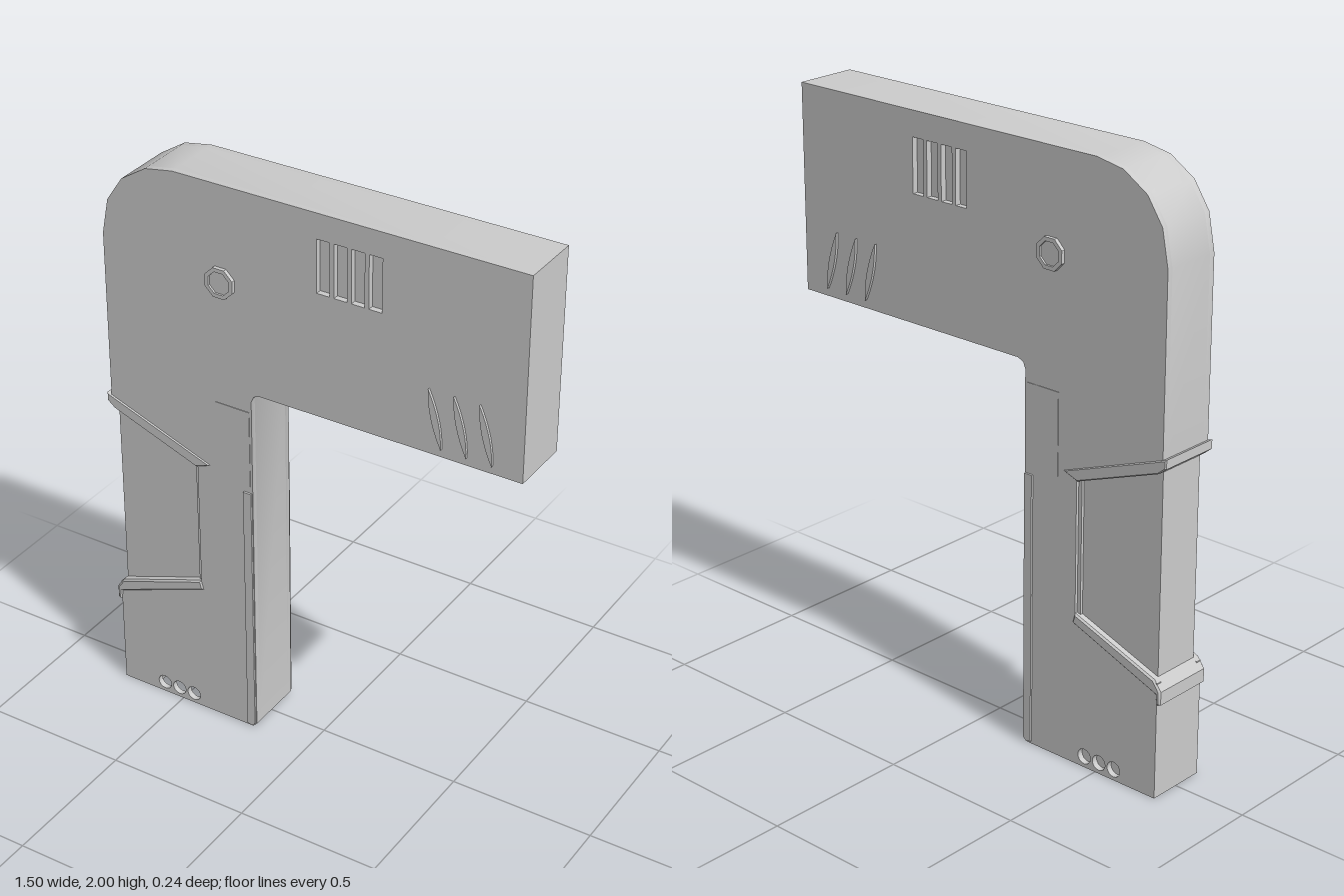
import * as THREE from 'three';
import { toCreasedNormals } from 'three/addons/utils/BufferGeometryUtils.js';

const HALF = 0.106;   // half thickness of the body
const SKIN = 0.02;    // depth of the engraved side layers
const material = new THREE.MeshStandardMaterial({ color: 0xcccccc });

const poly = (pts) => new THREE.Shape(pts.map(([x, y]) => new THREE.Vector2(x, y)));
const rect = (x0, y0, x1, y1) => poly([[x0, y0], [x1, y0], [x1, y1], [x0, y1]]);
const disc = (x, y, r, n, turn = 0) => poly(Array.from({ length: n }, (_, i) => {
  const a = turn + (i / n) * Math.PI * 2;
  return [x + r * Math.cos(a), y + r * Math.sin(a)];
}));

// Extrudes a shape between two depths, with an optional chamfer kept inside them
function slab(name, shape, z0, z1, bevel = 0) {
  const g = new THREE.ExtrudeGeometry(shape, {
    depth: z1 - z0 - 2 * bevel, bevelEnabled: bevel > 0, bevelSize: bevel,
    bevelThickness: bevel, bevelOffset: -bevel, bevelSegments: 1, curveSegments: 8,
  });
  g.translate(0, 0, z0 + bevel);
  const mesh = new THREE.Mesh(toCreasedNormals(g, 0.5), material);
  mesh.name = name;
  return mesh;
}

// Angled outline; the bottom and rear edges can be notched
function bodyShape(bottomNotch, rearNotch) {
  return poly([
    [-0.74, 0], ...bottomNotch, [-0.215, 0], [-0.2, 0.015],
    [-0.2, 1.28], [-0.191, 1.301], [-0.17, 1.31],
    [0.75, 1.31], [0.75, 2], [-0.47, 2],
    [-0.57, 1.982], [-0.66, 1.925], [-0.717, 1.84], [-0.74, 1.72],
    ...rearNotch,
  ]);
}

export function createModel() {
  const model = new THREE.Group();
  model.name = 'angledHandle';

  // Core, with a socket in the bottom and a slimmer grip
  const inner = HALF - SKIN;
  const socket = [[-0.62, 0], [-0.59, 0.08], [-0.43, 0.08], [-0.4, 0]];
  const gripBack = [[-0.74, 1.12], [-0.727, 1.12], [-0.727, 0.37], [-0.74, 0.37]];
  model.add(slab('core', bodyShape(socket, gripBack), -inner, inner));
  model.add(slab('socketBackWall', rect(-0.62, 0.001, -0.4, 0.08), -inner, -inner + 0.015));

  // Side layers, cut by the grip recess, the vents and the holes
  const recess = [[-0.74, 1.1], [-0.41, 0.97], [-0.41, 0.525], [-0.74, 0.4]];
  for (const s of [1, -1]) {
    const side = s > 0 ? 'front' : 'back';
    const add = (name, shape, z0, z1, bevel) => model.add(
      slab(side + name, shape, s > 0 ? z0 : -z1, s > 0 ? z1 : -z0, bevel));

    const skin = bodyShape([], recess);
    for (let i = 0; i < 4; i++) {
      const x = 0.04 + i * 0.06;
      skin.holes.push(rect(x, 1.735, x + 0.045, 1.915));
    }
    for (let i = 0; i < 3; i++) skin.holes.push(disc(-0.575 + i * 0.06, 0.038, 0.026, 16));
    add('Skin', skin, inner, HALF);

    // Step along the inner edge of the recess
    add('RecessLip', rect(-0.423, 0.52, -0.405, 0.975), inner - 0.005, HALF - 0.01);

    // Octagonal pin with a raised rim
    const ring = disc(-0.303, 1.672, 0.054, 8, Math.PI / 8);
    ring.holes.push(disc(-0.303, 1.672, 0.04, 8, Math.PI / 8));
    add('PinRim', ring, HALF - 0.01, 0.119);
    add('PinHead', disc(-0.303, 1.672, 0.041, 8, Math.PI / 8), HALF - 0.01, 0.112);

    // Curved slashes
    for (let i = 0; i < 3; i++) {
      const x = 0.43 + i * 0.086;
      const blade = new THREE.Shape();
      blade.moveTo(x, 1.535);
      blade.quadraticCurveTo(x - 0.002, 1.44, x + 0.047, 1.338);
      blade.quadraticCurveTo(x + 0.05, 1.43, x, 1.535);
      add('Slash', blade, HALF - 0.01, 0.115);
    }

    // Edge strip and the small panel above it
    add('EdgeStrip', poly([[-0.233, 0.01], [-0.215, 0.006], [-0.203, 0.018], [-0.203, 0.94],
      [-0.233, 0.94]]), HALF - 0.01, 0.113);
    add('SidePanel', rect(-0.335, 0.965, -0.208, 1.24), HALF - 0.01, HALF + 0.002);
  }

  // Collars that wrap the rear above and below the grip
  model.add(slab('upperCollar', poly([[-0.755, 1.14], [-0.755, 1.11], [-0.728, 1.088],
    [-0.415, 0.972], [-0.36, 0.993]]), -0.111, 0.111, 0.004));
  model.add(slab('lowerCollar', poly([[-0.755, 0.33], [-0.74, 0.325], [-0.735, 0.362],
    [-0.4, 0.492], [-0.41, 0.527], [-0.73, 0.41], [-0.755, 0.375]]), -0.111, 0.111, 0.006));

  return model;
}
